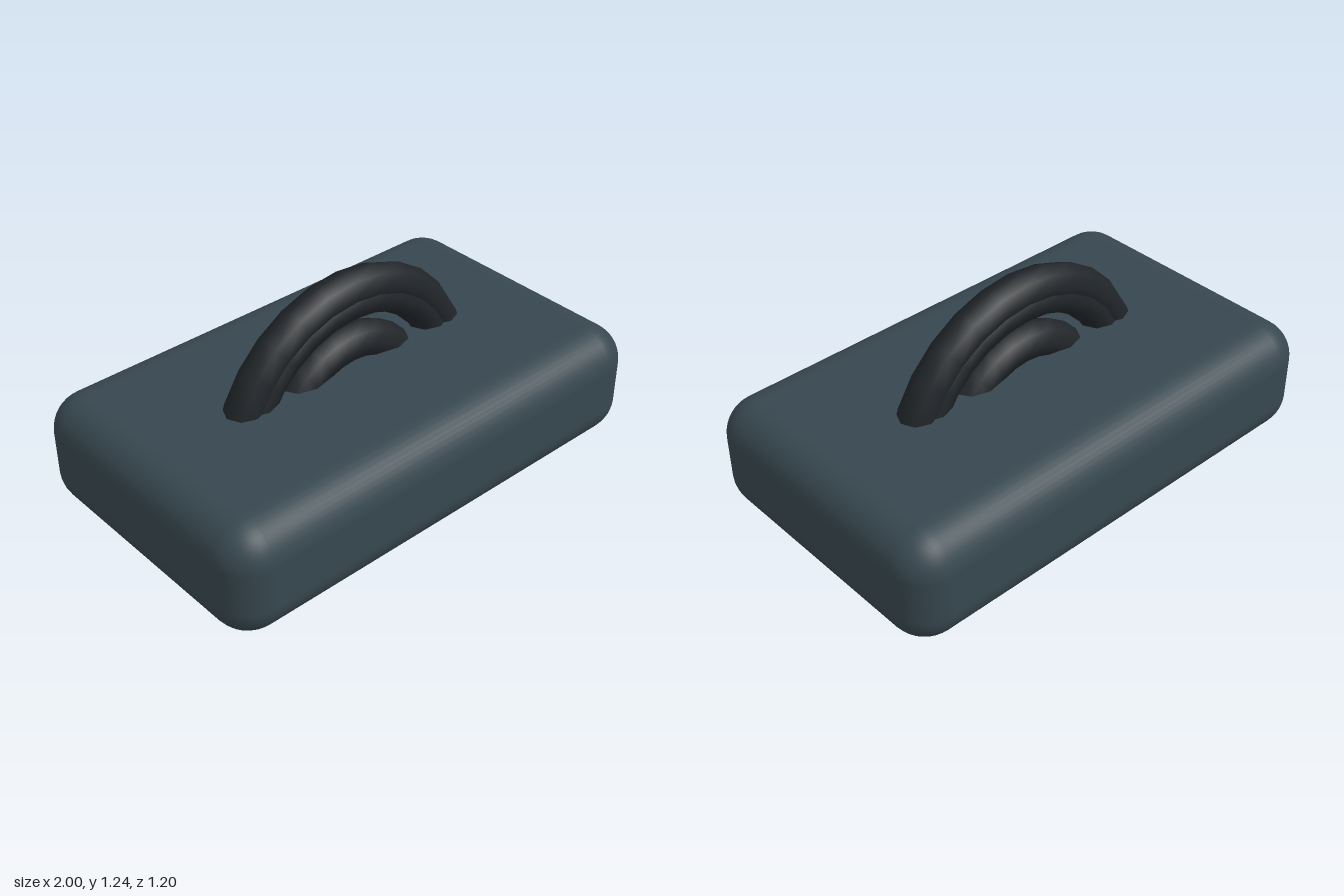
import * as THREE from 'three';
import { RoundedBoxGeometry } from 'three/addons/geometries/RoundedBoxGeometry.js';

const CENTER_Y = 0.627;

export function createModel() {
  const model = new THREE.Group();
  model.name = 'ringedBlock';
  const bodyMaterial = new THREE.MeshStandardMaterial({ color: 0x37474f });
  const ringMaterial = new THREE.MeshStandardMaterial({ color: 0x212529 });

  const add = (name, geometry, material) => {
    const mesh = new THREE.Mesh(geometry, material);
    mesh.name = name;
    mesh.position.y = CENTER_Y;
    model.add(mesh);
  };

  // Rounded slab
  add('body', new RoundedBoxGeometry(2, 0.475, 1.2, 5, 0.15), bodyMaterial);

  // Upright concentric rings passing through the slab
  const rings = { outerRing: 0.546, middleRing: 0.495, innerRing: 0.315 };
  for (const [name, radius] of Object.entries(rings)) {
    add(name, new THREE.TorusGeometry(radius, 0.075, 8, 28), ringMaterial);
  }

  return model;
}
